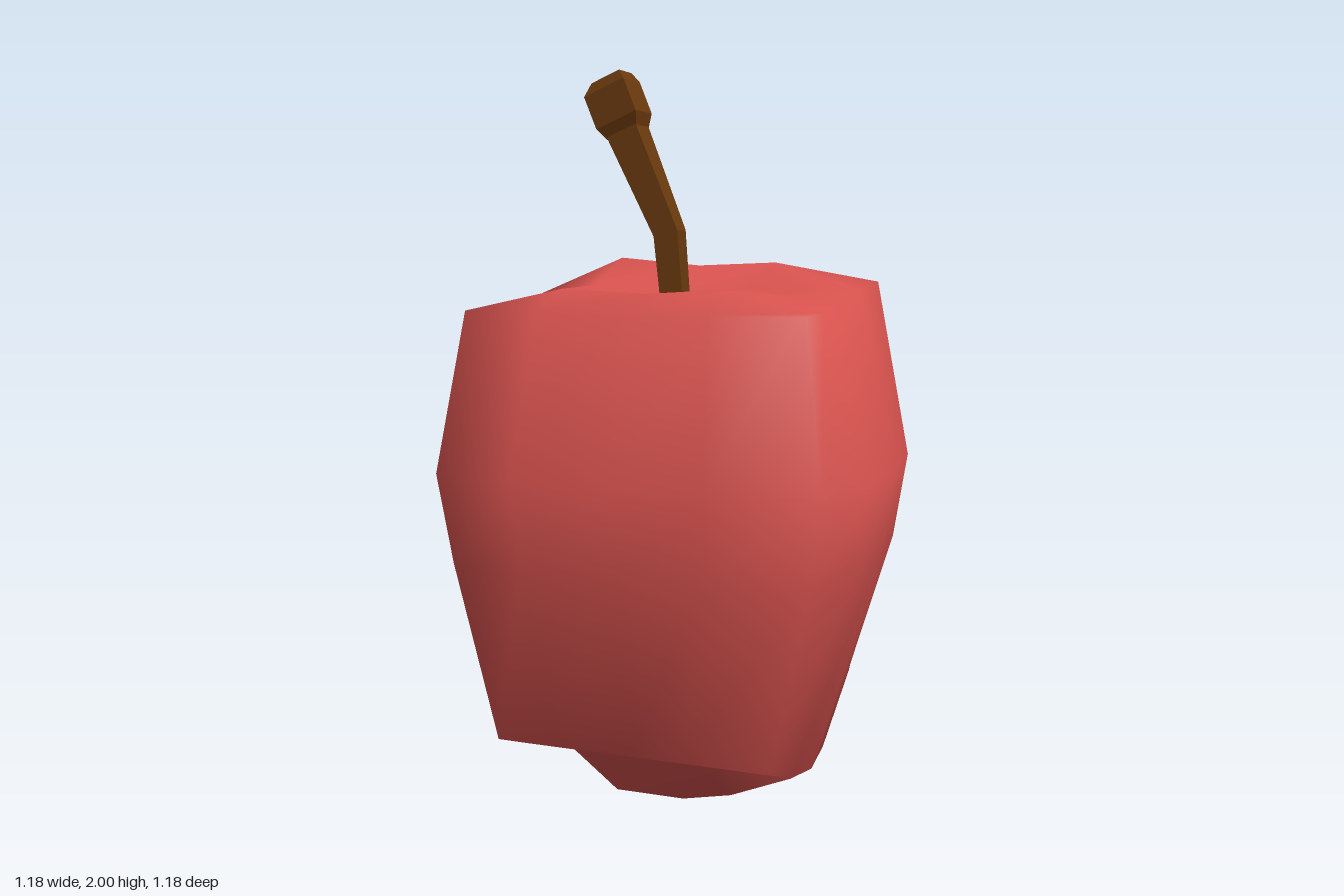
import * as THREE from 'three';
import { mergeVertices } from 'three/addons/utils/BufferGeometryUtils.js';

// Rows of the fruit from bottom to top: grid positions in x and z,
// how far the sides (bx) and the back and front (bz) bulge, and the height
const ROWS = [
  { xs: [-0.37, -0.2, 0, 0.14, 0.36], zs: [-0.43, -0.05, 0.09, 0.31, 0.49], bx: 0.01, bz: [0, 0],
    y: [[0.25, 0.25, 0.25, 0.25, 0.25],
      [0.15, 0.01, 0, 0.03, 0.15],
      [0.14, 0, 0, 0.03, 0.14],
      [0.2, 0.2, 0.2, 0.2, 0.2],
      [0.28, 0.28, 0.28, 0.28, 0.28]] },
  { xs: [-0.47, -0.26, -0.02, 0.21, 0.46], zs: [-0.46, -0.15, 0.09, 0.33, 0.52], bx: 0.085, bz: [0.11, 0.06], y: 0.75 },
  { xs: [-0.51, -0.28, -0.02, 0.22, 0.485], zs: [-0.47, -0.16, 0.09, 0.34, 0.525], bx: 0.095, bz: [0.125, 0.065], y: 0.98 },
  { xs: [-0.44, -0.25, -0.02, 0.2, 0.43], zs: [-0.4, -0.11, 0.1, 0.31, 0.48], bx: 0.005, bz: [0, 0],
    y: [[1.44, 1.47, 1.47, 1.47, 1.44],
      [1.43, 1.51, 1.49, 1.5, 1.43],
      [1.4, 1.44, 1.35, 1.44, 1.4],
      [1.39, 1.44, 1.43, 1.44, 1.39],
      [1.39, 1.39, 1.39, 1.39, 1.39]] },
];
const BULGE = [0, 0.88, 1, 0.88, 0];

// Segmented box whose grid points are moved onto the rows
function fruitGeometry() {
  const box = new THREE.BoxGeometry(4, 3, 4, 4, 3, 4);
  box.deleteAttribute('normal');
  box.deleteAttribute('uv');
  const geo = mergeVertices(box);
  const pos = geo.attributes.position;
  for (let n = 0; n < pos.count; n++) {
    const i = Math.round(pos.getX(n) + 2);
    const j = Math.round(pos.getY(n) + 1.5);
    const k = Math.round(pos.getZ(n) + 2);
    const row = ROWS[j];
    let x = row.xs[i], z = row.zs[k];
    if (i === 0) x -= row.bx * BULGE[k];
    if (i === 4) x += row.bx * BULGE[k];
    if (k === 0) z -= row.bz[0] * BULGE[i];
    if (k === 4) z += row.bz[1] * BULGE[i];
    pos.setXYZ(n, x, Array.isArray(row.y) ? row.y[k][i] : row.y, z);
  }
  geo.computeVertexNormals();
  return geo;
}

// Square sections [x, y, z, tilt, half width, half depth] joined into a closed bar
function barGeometry(sections) {
  const points = [], index = [];
  for (const [x, y, z, tilt, w, d] of sections) {
    for (const [sx, sz] of [[-1, 1], [1, 1], [1, -1], [-1, -1]]) {
      points.push(x + sx * w * Math.cos(tilt), y + sx * w * Math.sin(tilt), z + sz * d);
    }
  }
  const last = (sections.length - 1) * 4;
  for (let s = 0; s < last; s += 4) {
    for (let c = 0; c < 4; c++) {
      const a = s + c, b = s + (c + 1) % 4;
      index.push(a, b, b + 4, a, b + 4, a + 4);
    }
  }
  index.push(0, 2, 1, 0, 3, 2, last, last + 1, last + 2, last, last + 2, last + 3);
  const geo = new THREE.BufferGeometry();
  geo.setAttribute('position', new THREE.Float32BufferAttribute(points, 3));
  geo.setIndex(index);
  geo.computeVertexNormals();
  return geo;
}

export function createModel() {
  const group = new THREE.Group();
  const add = (name, geometry, material) => {
    const mesh = new THREE.Mesh(geometry, material);
    mesh.name = name;
    group.add(mesh);
  };
  const red = new THREE.MeshStandardMaterial({ color: 0xd9534f });
  const brown = new THREE.MeshStandardMaterial({ color: 0x6b3a0e, flatShading: true });

  // Fruit body with the hollow around the stem
  add('fruit', fruitGeometry(), red);

  // Bent stem, widening towards its end
  add('stem', barGeometry([
    [-0.01, 1.32, 0.1, 0.08, 0.03, 0.03],
    [-0.033, 1.58, 0.1, 0.25, 0.034, 0.034],
    [-0.155, 1.845, 0.087, 0.4, 0.044, 0.047],
  ]), brown);

  // Knob at the end of the stem
  add('stemKnob', barGeometry([
    [-0.155, 1.84, 0.085, 0.4, 0.045, 0.047],
    [-0.165, 1.872, 0.085, 0.4, 0.06, 0.06],
    [-0.199, 1.955, 0.085, 0.4, 0.06, 0.06],
    [-0.2, 1.984, 0.085, 0.4, 0.042, 0.045],
  ]), brown);
  return group;
}
